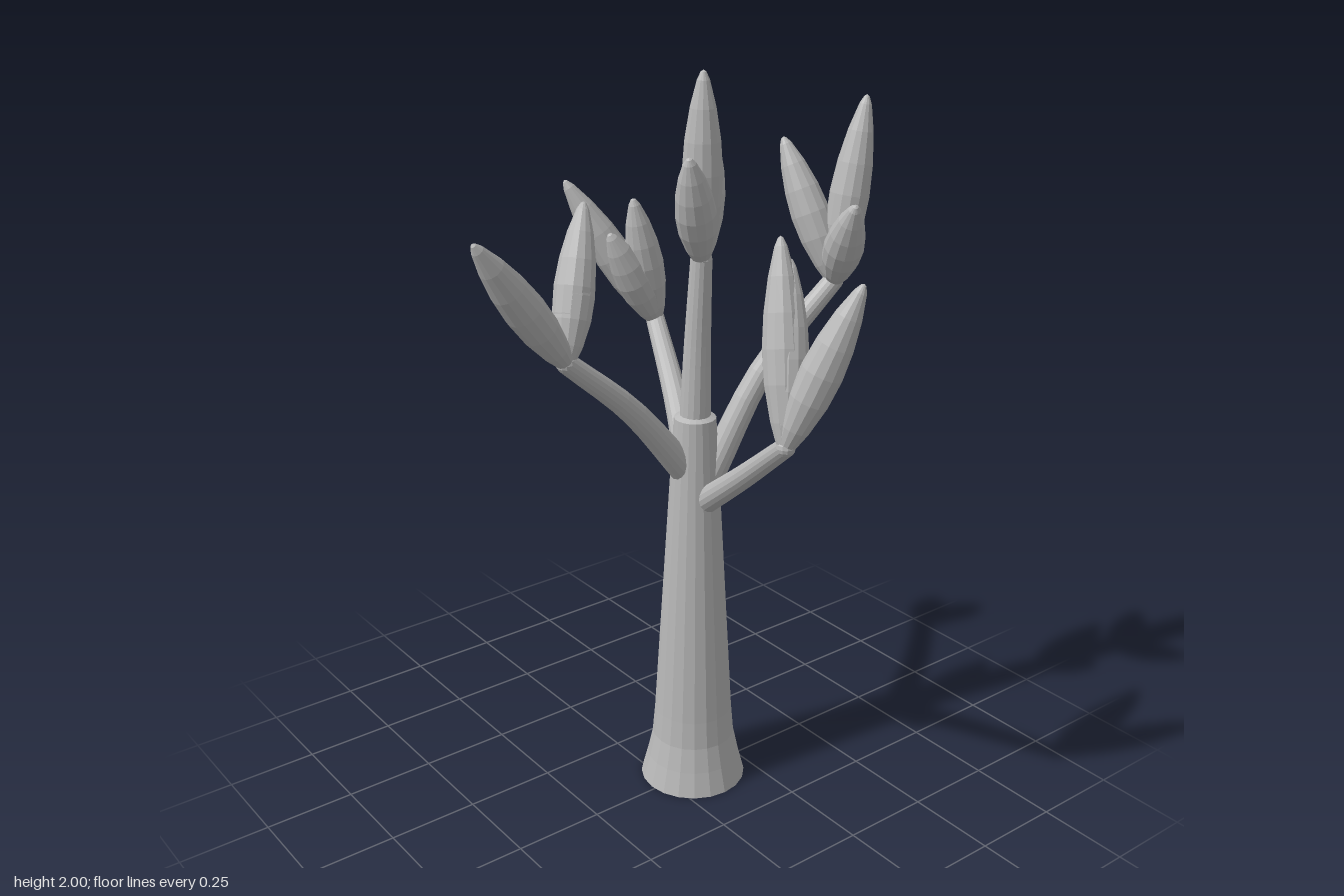
import * as THREE from 'three';

const V = (p) => new THREE.Vector3(...p);
const UP = new THREE.Vector3(0, 1, 0);

export function createModel() {
  const tree = new THREE.Group();
  tree.name = 'tree';
  const grey = new THREE.MeshStandardMaterial({ color: 0xb8b8b8, flatShading: true, side: THREE.DoubleSide });
  grey.name = 'plain grey';

  function add(name, geometry, parent = tree) {
    const mesh = new THREE.Mesh(geometry, grey);
    mesh.name = name;
    parent.add(mesh);
    return mesh;
  }

  // Tapered tube through a few points
  function limb(points, r0, r1) {
    const curve = new THREE.CatmullRomCurve3(points.map(V));
    const steps = 8, sides = 16;
    const geo = new THREE.TubeGeometry(curve, steps, 1, sides);
    const pos = geo.attributes.position, v = new THREE.Vector3();
    for (let i = 0; i < pos.count; i++) {
      const t = Math.floor(i / (sides + 1)) / steps;
      const c = curve.getPointAt(t);
      v.fromBufferAttribute(pos, i).sub(c).multiplyScalar(r0 + (r1 - r0) * t).add(c);
      pos.setXYZ(i, v.x, v.y, v.z);
    }
    geo.computeVertexNormals();
    return geo;
  }

  // Pointed leaf bud running from base to tip; profile is [radius, fraction of length]
  const leafProfile = [[0, 0], [0.022, 0.005], [0.036, 0.12], [0.049, 0.3], [0.052, 0.47],
    [0.046, 0.64], [0.033, 0.81], [0.016, 0.95], [0.007, 0.99], [0, 1]];
  function leaf(base, tip, parent) {
    const dir = V(tip).sub(V(base));
    const length = dir.length();
    const geo = new THREE.LatheGeometry(leafProfile.map(([r, t]) => new THREE.Vector2(r, t * length)), 14);
    const mesh = add('leaf', geo, parent);
    mesh.position.copy(V(base));
    mesh.quaternion.setFromUnitVectors(UP, dir.normalize());
  }

  // Trunk with a flared, open foot
  const trunkProfile = [[0.148, 0], [0.13, 0.07], [0.115, 0.14], [0.108, 0.22], [0.088, 0.56],
    [0.068, 0.9], [0.056, 1.1], [0.036, 1.11]];
  const trunk = add('trunk', new THREE.LatheGeometry(trunkProfile.map(([r, y]) => new THREE.Vector2(r, y)), 20));
  trunk.position.set(-0.013, 0, -0.098);

  // Each branch: path, radii, leaf tips (leaves grow from the end of the path)
  const branches = [
    { name: 'topBranch', path: [[-0.013, 1.08, -0.098], [-0.008, 1.3, -0.1], [0.005, 1.53, -0.1]], r: [0.042, 0.028],
      tips: [[0.02, 2, -0.09], [0.08, 1.81, 0], [-0.08, 1.85, -0.19]] },
    { name: 'leftBranch', path: [[0.02, 0.865, -0.105], [0.21, 1.01, -0.075], [0.42, 1.175, -0.03]], r: [0.036, 0.025],
      tips: [[0.29, 1.65, -0.11], [0.525, 1.58, -0.16], [0.315, 1.6, -0.12]] },
    { name: 'rightBranch', path: [[-0.04, 0.9, -0.11], [-0.2, 1.07, -0.18], [-0.395, 1.24, -0.255]], r: [0.04, 0.027],
      tips: [[-0.525, 1.64, -0.045], [-0.38, 1.6, -0.17], [-0.395, 1.51, -0.1]] },
    { name: 'frontBranch', path: [[-0.018, 0.94, -0.08], [-0.025, 1.16, 0.1], [-0.037, 1.325, 0.285]], r: [0.04, 0.027],
      tips: [[0.012, 1.68, 0.56], [-0.13, 1.69, 0.16], [-0.12, 1.65, 0.17]] },
    { name: 'backBranch', path: [[0.01, 0.93, -0.13], [0.055, 1.22, -0.275], [0.105, 1.435, -0.465]], r: [0.04, 0.026],
      tips: [[0.108, 1.905, -0.55], [0.25, 1.67, -0.39], [-0.05, 1.79, -0.41]] },
  ];
  for (const { name, path, r, tips } of branches) {
    const group = new THREE.Group();
    group.name = name;
    tree.add(group);
    add('stem', limb(path, ...r), group);
    const end = path[path.length - 1];
    // Rounded knob where the leaves meet
    add('knob', new THREE.SphereGeometry(r[1], 12, 8), group).position.copy(V(end));
    for (const tip of tips) leaf(end, tip, group);
  }
  return tree;
}
